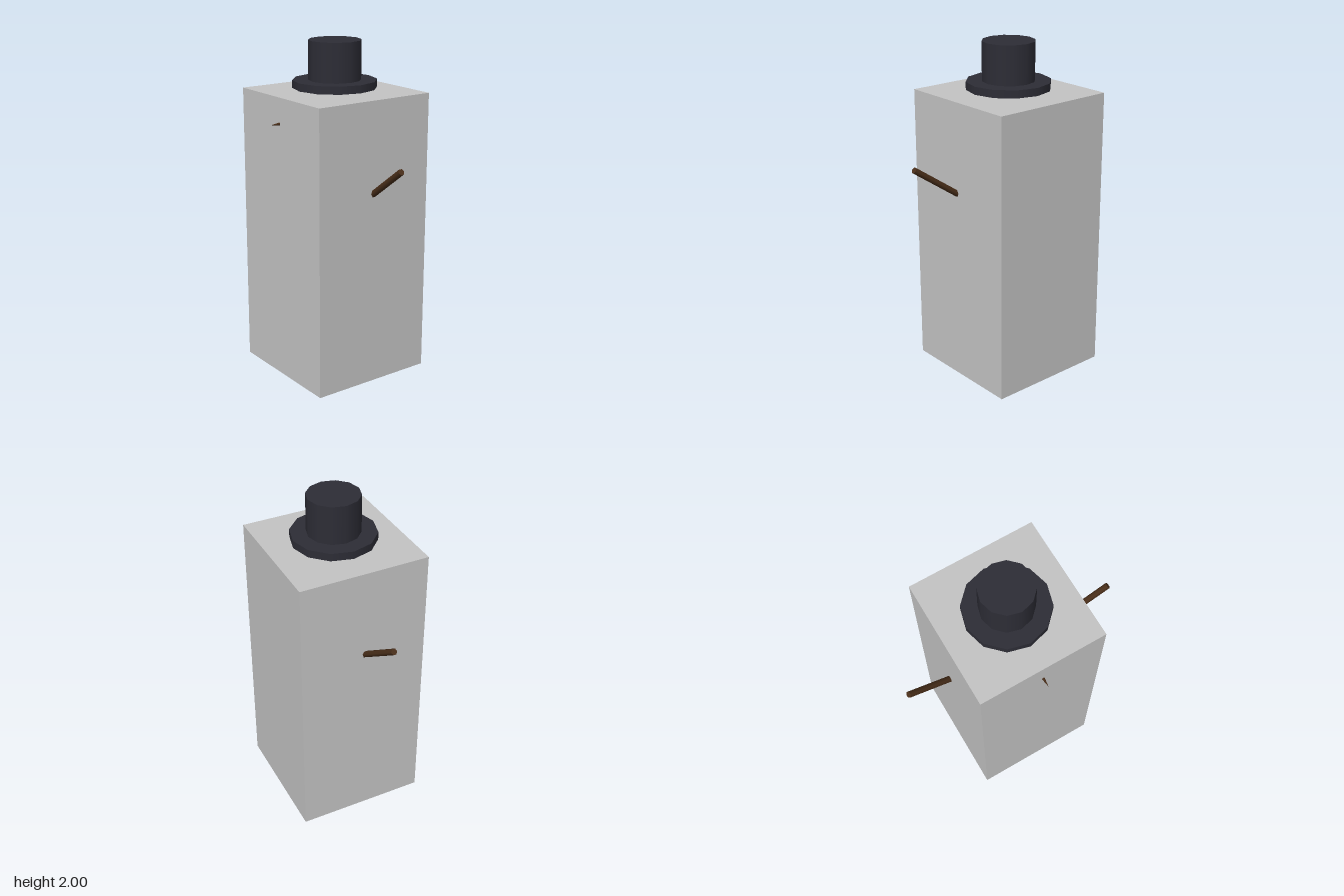
import * as THREE from 'three';

export function createModel() {
  const model = new THREE.Group();
  const mat = (name, color) => {
    const m = new THREE.MeshStandardMaterial({ color });
    m.name = name;
    return m;
  };
  const grey = mat('body grey', 0xc4c4c4);
  const black = mat('hat black', 0x2d2d36);
  const brown = mat('stick brown', 0x4a2f1a);
  const centreZ = -0.033;

  const add = (name, geometry, material, x, y, z) => {
    const mesh = new THREE.Mesh(geometry, material);
    mesh.name = name;
    mesh.position.set(x, y, z);
    model.add(mesh);
    return mesh;
  };

  // Block body
  add('body', new THREE.BoxGeometry(0.772, 1.706, 0.774), grey, 0, 0.853, centreZ);

  // Hat, hovering just above the body
  add('hatBrim', new THREE.CylinderGeometry(0.248, 0.248, 0.046, 12), black, 0, 1.747, centreZ);
  add('hatCrown', new THREE.CylinderGeometry(0.155, 0.155, 0.23, 12), black, 0, 1.885, centreZ);

  // Stick arms, rising outwards and slightly forwards
  const up = new THREE.Vector3(0, 1, 0);
  for (const side of [1, -1]) {
    const start = new THREE.Vector3(side * 0.25, 1.075, -0.038);
    const end = new THREE.Vector3(side * 0.655, 1.36, 0.003);
    const dir = end.clone().sub(start);
    const mid = start.clone().add(end).multiplyScalar(0.5);
    const arm = add(side > 0 ? 'leftArm' : 'rightArm',
      new THREE.CylinderGeometry(0.019, 0.019, dir.length(), 6), brown, mid.x, mid.y, mid.z);
    arm.quaternion.setFromUnitVectors(up, dir.normalize());
  }

  // Small pointed nose
  const nose = add('nose', new THREE.ConeGeometry(0.0125, 0.08, 6), brown, 0, 1.555, 0.37);
  nose.rotation.x = Math.PI / 2;

  return model;
}
